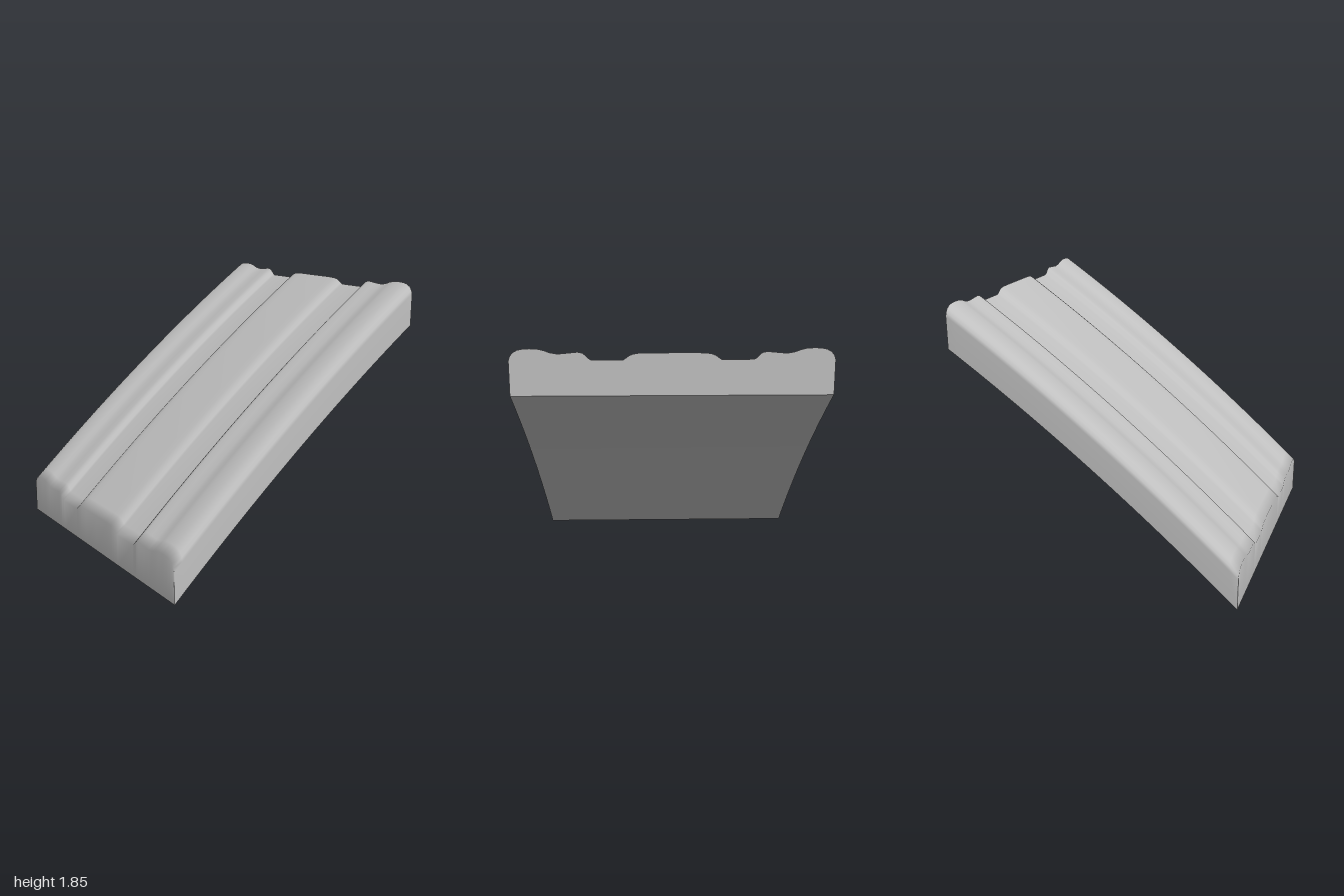
import * as THREE from 'three';

// Half of the moulded cross-section: [z, height above the underside]
const HALF = [
  [1, 0], [1, 0.22], [0.992, 0.245], [0.975, 0.268], [0.945, 0.285], [0.91, 0.292], [0.87, 0.294],
  [0.82, 0.291], [0.78, 0.281], [0.745, 0.268], [0.70, 0.261], [0.64, 0.266], [0.58, 0.272],
  [0.55, 0.266], [0.535, 0.254], [0.515, 0.234], [0.50, 0.224], [0.30, 0.224], [0.285, 0.234],
  [0.265, 0.249], [0.24, 0.259], [0.21, 0.264], [0.15, 0.266],
];
const PROFILE = [...HALF, [0, 0.266], ...HALF.slice().reverse().map(([z, h]) => [-z, h])];
const STEPS = 32;

// Gently arched line the strip climbs along
const rise = (x) => 0.838 + 0.778 * x - 0.06 * x * x;
const ring = (x) => PROFILE.map(([z, h]) => [x, rise(x) + h, z]);
const base = (x) => PROFILE.map(([z]) => [x, rise(x), z]);

// Joins equal-length rows of points into one smooth surface
function loft(name, rows, material) {
  const n = rows[0].length;
  const index = [];
  for (let i = 0; i < rows.length - 1; i++) {
    for (let j = 0; j < n - 1; j++) {
      const a = i * n + j, b = a + n;
      index.push(a, b, a + 1, b, b + 1, a + 1);
    }
  }
  const geometry = new THREE.BufferGeometry();
  geometry.setAttribute('position', new THREE.Float32BufferAttribute(rows.flat(2), 3));
  geometry.setIndex(index);
  geometry.computeVertexNormals();
  const mesh = new THREE.Mesh(geometry, material);
  mesh.name = name;
  return mesh;
}

export function createModel() {
  const group = new THREE.Group();
  group.name = 'curvedMoulding';
  const grey = new THREE.MeshStandardMaterial({ color: 0xc0c0c0 });
  grey.name = 'plain grey';

  const xs = Array.from({ length: STEPS + 1 }, (_, i) => -1 + (2 * i) / STEPS);

  // Moulded top and sides, blending softly into the lower end face
  group.add(loft('mouldedFace', [base(-1), ...xs.map(ring)], grey));
  // Flat upper end
  group.add(loft('upperEnd', [ring(1), base(1)], grey));
  // Plain arched underside
  group.add(loft('underside', xs.map((x) => [[x, rise(x), -1], [x, rise(x), 1]]), grey));

  return group;
}
